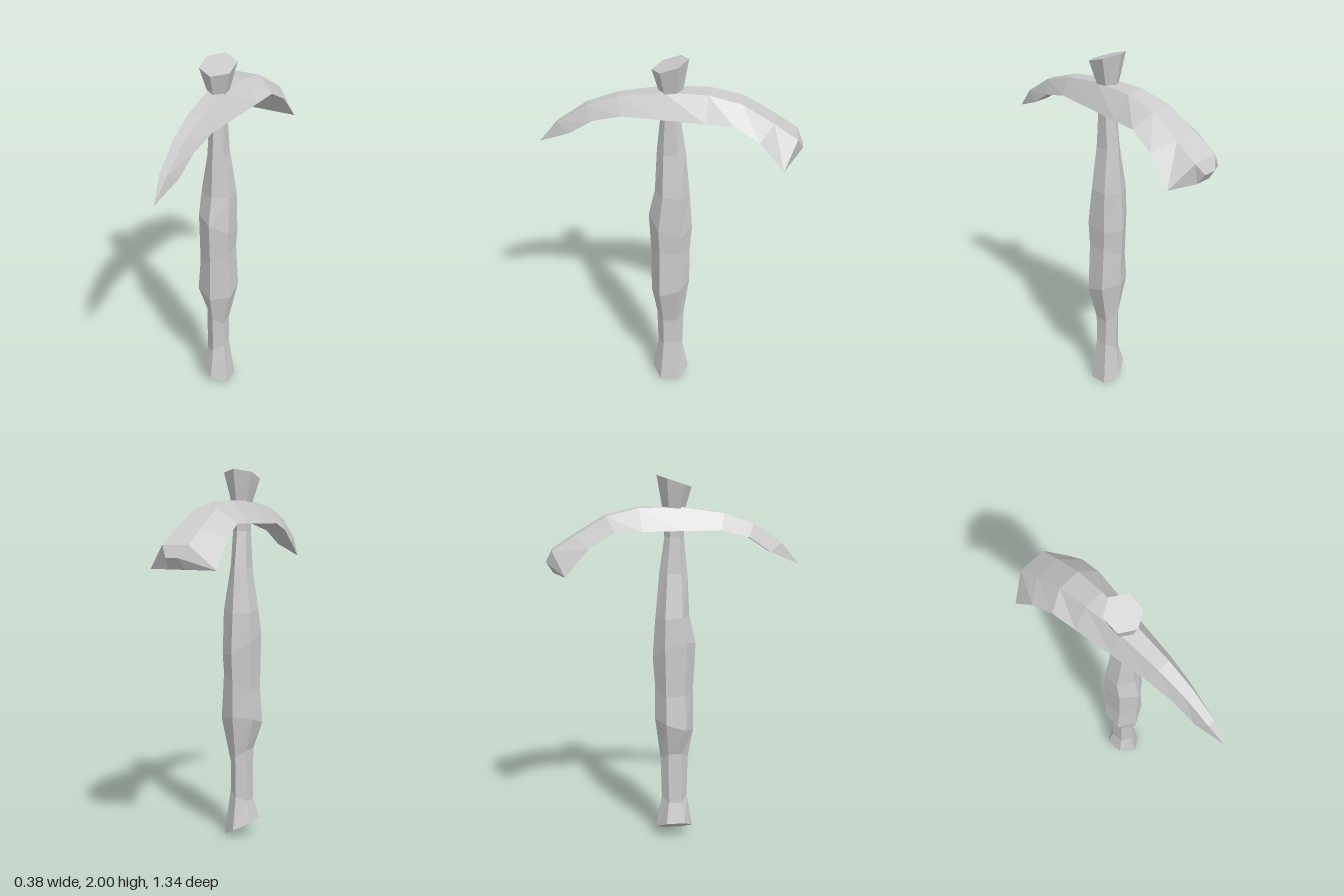
import * as THREE from 'three';

// Skin a list of equal-length rings (counterclockwise seen from the end) and cap both ends
function loft(rings, name) {
  const pos = [];
  const tri = (a, b, c) => pos.push(...a, ...b, ...c);
  const n = rings[0].length;
  for (let r = 0; r < rings.length - 1; r++) {
    const a = rings[r], b = rings[r + 1];
    for (let i = 0; i < n; i++) {
      const j = (i + 1) % n;
      tri(a[i], a[j], b[j]);
      tri(a[i], b[j], b[i]);
    }
  }
  const first = rings[0], last = rings[rings.length - 1];
  for (let i = 1; i < n - 1; i++) {
    tri(first[0], first[i + 1], first[i]);
    tri(last[0], last[i], last[i + 1]);
  }
  const geometry = new THREE.BufferGeometry();
  geometry.setAttribute('position', new THREE.Float32BufferAttribute(pos, 3));
  geometry.computeVertexNormals();
  const mesh = new THREE.Mesh(geometry, new THREE.MeshStandardMaterial({ color: 0xcccccc, flatShading: true }));
  mesh.name = name;
  return mesh;
}

// Six-sided ring with points on the z axis, tilted by slopes in x and z
function hexRing([y, rx, rz, slopeX = 0, slopeZ = 0, cz = 0]) {
  return Array.from({ length: 6 }, (_, i) => {
    const a = i * Math.PI / 3;
    const x = rx * Math.sin(a) / Math.sin(Math.PI / 3);
    const z = rz * Math.cos(a);
    return [x, y + slopeX * x + slopeZ * z, z + cz];
  });
}

export function createModel() {
  const group = new THREE.Group();
  group.name = 'pickaxe';

  // Rough-hewn handle with a flared, tilted knob on top: y, half width, half depth, slopes, z shift
  const handle = [
    [0.045, 0.082, 0.103, -0.55, 0],
    [0.23, 0.052, 0.07, 0.5, 0],
    [0.455, 0.05, 0.076, -0.7, 0],
    [0.65, 0.098, 0.106, -0.05, -0.33],
    [0.87, 0.083, 0.105, 0.5, 0],
    [1.07, 0.087, 0.117, -0.45, 0.3],
    [1.255, 0.081, 0.092, 0, 0.1, -0.01],
    [1.49, 0.046, 0.075, 0, -0.1, -0.004],
    [1.68, 0.04, 0.052],
    [1.83, 0.047, 0.06, 0, -0.15, -0.004],
    [1.97, 0.083, 0.092, 0, -0.33],
  ];
  group.add(loft(handle.map(hexRing), 'handle'));

  // Curved head, from broad back end to front point:
  // bottom z, bottom y, bottom half width, top z, top y, top half width
  const head = [
    [-0.635, 1.505, 0.045, -0.672, 1.56, 0.035],
    [-0.575, 1.5, 0.19, -0.64, 1.62, 0.075],
    [-0.45, 1.645, 0.173, -0.52, 1.7, 0.069],
    [-0.32, 1.72, 0.156, -0.36, 1.795, 0.061],
    [-0.18, 1.72, 0.137, -0.19, 1.835, 0.053],
    [0.03, 1.72, 0.109, 0.03, 1.838, 0.043],
    [0.24, 1.72, 0.081, 0.26, 1.805, 0.034],
    [0.39, 1.68, 0.061, 0.42, 1.75, 0.027],
    [0.51, 1.6, 0.046, 0.575, 1.645, 0.02],
    [0.67, 1.53, 0.001, 0.672, 1.532, 0.001],
  ];
  const section = ([bz, by, bw, tz, ty, tw]) =>
    [[-bw, by, bz], [bw, by, bz], [tw, ty, tz], [-tw, ty, tz]];
  group.add(loft(head.map(section), 'head'));

  return group;
}
